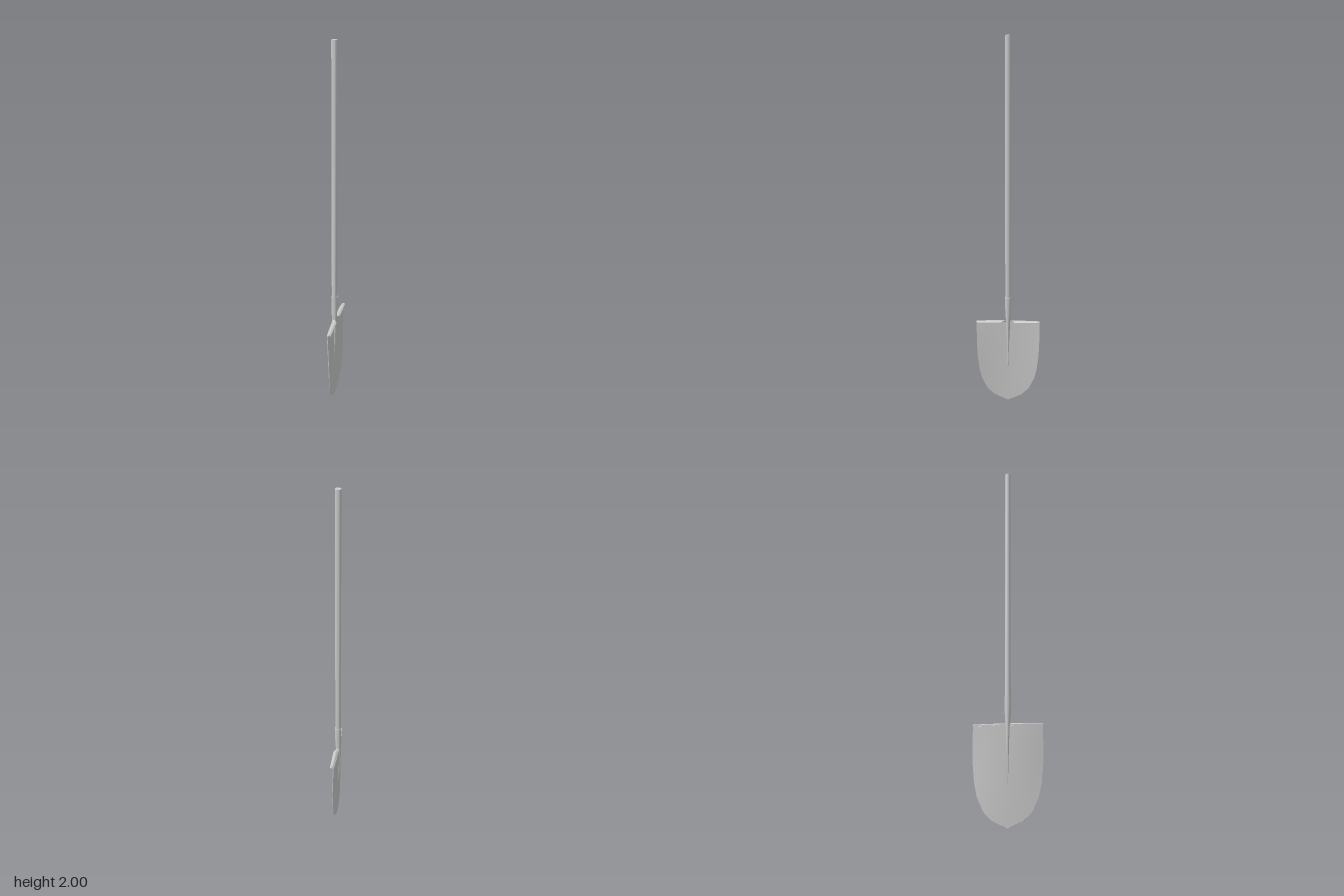
import * as THREE from 'three';
import { toCreasedNormals } from 'three/addons/utils/BufferGeometryUtils.js';

// Closed skin over a stack of equal-length rings of [x, y, z], capped at both ends
function loft(rings, crease = 0.7) {
  const n = rings[0].length, pos = [], idx = [];
  rings.forEach(r => r.forEach(p => pos.push(...p)));
  for (let i = 0; i < rings.length - 1; i++) {
    for (let j = 0; j < n; j++) {
      const a = i * n + j, b = i * n + (j + 1) % n;
      idx.push(a, a + n, b, b, a + n, b + n);
    }
  }
  const end = (rings.length - 1) * n;
  const flat = k => n - 1 - k;
  // caps zip opposite sides of the ring together
  for (let j = 0; j < Math.floor(n / 2); j++) {
    const k = (j + 1) % n, p = flat(j), q = flat(k);
    if (k >= q && j + 1 >= p) continue;
    idx.push(j, k, q, j, q, p);
    idx.push(end + j, end + q, end + k, end + j, end + p, end + q);
  }
  const g = new THREE.BufferGeometry();
  g.setAttribute('position', new THREE.Float32BufferAttribute(pos, 3));
  g.setIndex(idx);
  return toCreasedNormals(g, crease);
}

export function createModel() {
  const group = new THREE.Group();
  const mat = new THREE.MeshStandardMaterial({ color: 0xcccccc, side: THREE.DoubleSide });
  const add = (name, geo) => {
    const m = new THREE.Mesh(geo, mat);
    m.name = name;
    group.add(m);
    return m;
  };
  const axis = -0.003;

  // Long round shaft
  const shaft = add('shaft', toCreasedNormals(new THREE.CylinderGeometry(0.015, 0.015, 1.45, 16), 0.7));
  shaft.position.set(axis, 1.275, 0);

  // Socket: round sleeve that flattens and fades into the blade: [y, rx, rz, cx]
  const sections = [
    [0.18, 0.001, 0.001, -0.003], [0.30, 0.006, 0.004, -0.005], [0.42, 0.011, 0.008, -0.005],
    [0.50, 0.014, 0.012, -0.004], [0.55, 0.016, 0.015, axis], [0.64, 0.0175, 0.0175, axis],
  ];
  add('socket', loft(sections.map(([y, rx, rz, cx]) =>
    Array.from({ length: 16 }, (_, k) => {
      const a = k / 16 * Math.PI * 2;
      return [cx + rx * Math.cos(a), y, rz * Math.sin(a)];
    }))));

  // Blade: thin dished plate with a rounded point: [y, half width]
  const outline = [
    [0, 0.002], [0.015, 0.035], [0.035, 0.075], [0.075, 0.115], [0.145, 0.147],
    [0.21, 0.161], [0.29, 0.169], [0.37, 0.172], [0.44, 0.172], [0.495, 0.172],
  ];
  const bladeX = (y, z) =>
    -0.016 * y + (0.007 + 0.004 * Math.sin(Math.PI * y / 0.5)) * (z / 0.172) ** 2;
  const cols = 12, t = 0.002;
  add('blade', loft(outline.map(([y, w]) => {
    const zs = Array.from({ length: cols + 1 }, (_, k) => w * (2 * k / cols - 1));
    // the rim droops towards the middle at the tip only
    const face = s => zs.map(z => [bladeX(y, z) + s * t, y, z]);
    return [...face(1), ...face(-1).reverse()];
  })));

  // Foot treads: rolled top edge, cut away beside the socket: [x, y]
  const profile = [
    [-0.010, 0.488], [-0.007, 0.497], [0.001, 0.502], [0.010, 0.502], [0.018, 0.496],
    [0.018, 0.492], [0.010, 0.498], [0.001, 0.497], [-0.005, 0.488],
  ];
  const inner = x => x < 0.006 ? 0.012 : 0.024 + (x - 0.006) * 1.1;
  for (const side of [1, -1]) {
    const rings = [0, 0.25, 0.5, 0.75, 1].map(u => profile.map(([x, y]) => {
      const z = THREE.MathUtils.lerp(inner(x), 0.172, u);
      const bend = x < 0.005 ? 0.007 * (z / 0.172) ** 2 : 0;
      return [x + bend, y, side * z];
    }));
    add(side > 0 ? 'frontTread' : 'backTread', loft(side > 0 ? rings : rings.reverse()));
  }
  return group;
}
